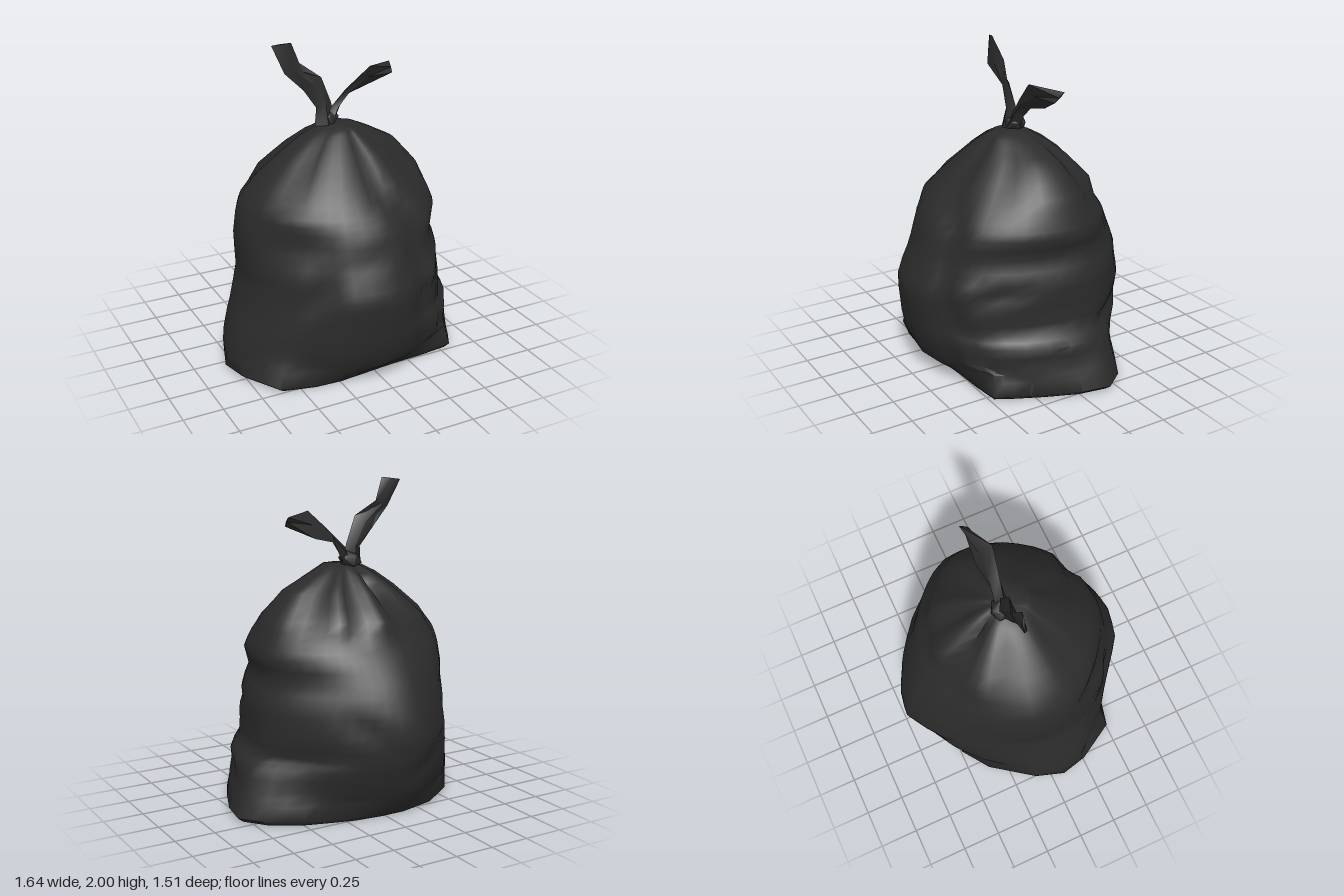
import * as THREE from 'three';
import { toCreasedNormals } from 'three/addons/utils/BufferGeometryUtils.js';

const plastic = new THREE.MeshStandardMaterial({ color: 0x2b2b2c, side: THREE.DoubleSide });
plastic.name = 'black plastic';

// Skins a stack of rings, each a closed loop of [x, y, z] points
function loft(rings, crease) {
  const n = rings[0].length, index = [];
  for (let r = 0; r < rings.length - 1; r++) {
    for (let i = 0; i < n; i++) {
      const a = r * n + i, b = r * n + (i + 1) % n, c = a + n, d = b + n;
      index.push(a, c, b, b, c, d);
    }
  }
  const g = new THREE.BufferGeometry();
  g.setAttribute('position', new THREE.Float32BufferAttribute(rings.flat(2), 3));
  g.setIndex(index);
  return toCreasedNormals(g, crease);
}

function addMesh(group, name, geometry) {
  const mesh = new THREE.Mesh(geometry, plastic);
  mesh.name = name;
  group.add(mesh);
  return mesh;
}

// Adds a point halfway along every side of a closed loop
const refine = (loop) => loop.flatMap((p, i) => {
  const q = loop[(i + 1) % loop.length];
  return [p, p.map((v, k) => (v + q[k]) / 2)];
});

// Widest plan outline of the sack, x and z, as a share of its reach
const outline = refine([
  [-0.14, -0.76], [0.02, -0.74], [0.2, -0.66], [0.34, -0.58], [0.5, -0.47], [0.71, -0.32],
  [0.82, -0.18], [0.79, 0.05], [0.7, 0.3], [0.57, 0.5], [0.45, 0.62], [0.3, 0.64],
  [0.16, 0.72], [-0.04, 0.755], [-0.28, 0.71], [-0.46, 0.58], [-0.6, 0.49], [-0.8, 0.26],
  [-0.83, 0.08], [-0.78, -0.12], [-0.55, -0.44], [-0.4, -0.59],
].map(([x, z]) => [x / 0.825, z / 0.757]));

// Footprint on the ground, straighter along the front
const footprint = refine([
  [-0.14, -0.54], [0.02, -0.54], [0.2, -0.52], [0.34, -0.48], [0.5, -0.43], [0.7, -0.31],
  [0.8, -0.18], [0.77, 0], [0.69, 0.2], [0.61, 0.37], [0.55, 0.48], [0.37, 0.5],
  [0.15, 0.51], [-0.04, 0.53], [-0.25, 0.55], [-0.42, 0.54], [-0.62, 0.49], [-0.76, 0.25],
  [-0.8, 0.08], [-0.74, -0.1], [-0.55, -0.36], [-0.38, -0.48],
]);

// Height, then reach to -x, +x, -z and +z
const levels = [
  [0.11, 0.805, 0.785, 0.62, 0.655], [0.2, 0.79, 0.755, 0.67, 0.7], [0.32, 0.755, 0.75, 0.71, 0.73],
  [0.39, 0.73, 0.66, 0.735, 0.74], [0.5, 0.7, 0.645, 0.755, 0.755], [0.6, 0.675, 0.645, 0.74, 0.76],
  [0.7, 0.68, 0.64, 0.71, 0.72], [0.84, 0.685, 0.57, 0.65, 0.67], [0.97, 0.67, 0.615, 0.57, 0.62],
  [1.06, 0.65, 0.58, 0.5, 0.565], [1.18, 0.55, 0.525, 0.465, 0.46], [1.33, 0.37, 0.39, 0.31, 0.31],
  [1.42, 0.24, 0.22, 0.19, 0.21], [1.47, 0.14, 0.11, 0.1, 0.15],
];

// Creases: angle from the front in degrees, height, slope, half length, half width, depth
const creases = [
  [-38, 0.62, 0.5, 0.3, 0.15, 0.06], [30, 0.5, -1.2, 0.3, 0.22, 0.07], [14, 1.08, -0.6, 0.35, 0.13, 0.09],
  [-48, 0.88, 0, 0.6, 0.17, 0.08], [35, 0.76, -0.2, 0.4, 0.1, 0.05], [-10, 0.82, 0.1, 0.4, 0.08, 0.03],
  [55, 0.63, 0.15, 0.45, 0.09, 0.05], [70, 0.27, -0.15, 0.6, 0.08, 0.03], [118, 0.34, 0, 0.5, 0.12, 0.1],
  [165, 0.55, -0.4, 0.5, 0.12, 0.04], [-160, 0.35, 0.3, 0.4, 0.1, 0.03], [-135, 0.8, -0.2, 0.5, 0.1, 0.03],
  [-80, 1.05, -0.2, 0.4, 0.1, 0.03],
];

// Grooves running down from the knot: angle, half width, depth
const grooves = [
  [-160, 0.24, 0.3], [167, 0.2, 0.28], [132, 0.35, 0.22], [-115, 0.25, 0.14],
  [48, 0.5, 0.15], [-50, 0.25, 0.1], [5, 0.25, 0.12],
];

// One cross-section, rounder toward the neck, with its creases and grooves pressed in
function section([y, left, right, back, front]) {
  const round = 0.8 * Math.min(1, y / 1.2);
  const gather = Math.max(0, 1 - Math.abs(y - 1.36) / 0.32);
  const spread = 1.05 - 0.5 * y;
  return outline.map(([nx, nz], i) => {
    let s = 1 + round * (1 / Math.hypot(nx, nz) - 1);
    const angle = Math.atan2(nx, nz);
    const away = (deg) => {
      const d = angle - deg * Math.PI / 180;
      return Math.atan2(Math.sin(d), Math.cos(d));
    };
    for (const [deg, cy, slope, len, width, depth] of creases) {
      const d = away(deg), across = Math.max(0, 1 - Math.abs(y - cy - slope * d) / width);
      s *= 1 - depth * across * Math.max(0, 1 - Math.abs(d) / len);
    }
    for (const [deg, width, depth] of grooves) {
      s *= 1 - depth * gather * Math.max(0, 1 - Math.abs(away(deg)) / width);
    }
    const x = nx * s * (nx < 0 ? left : right), z = nz * s * (nz < 0 ? back : front);
    // Near the ground the sack never falls inside its spreading footprint
    const fx = footprint[i][0] * spread, fz = footprint[i][1] * spread;
    return y < 0.35 && Math.hypot(fx, fz) > Math.hypot(x, z) ? [fx, y, fz] : [x, y, z];
  });
}

function sackGeometry() {
  const foot = (y, s) => footprint.map(([x, z]) => [x * s, y, z * s]);
  const cap = (x, y, z) => outline.map(() => [x, y, z]);
  const rings = [cap(0, 0.03, 0), foot(0.02, 0.6), foot(0, 0.98), foot(0.03, 1.025)];
  levels.forEach((level, i) => {
    if (i > 0) rings.push(section(level.map((v, k) => (v + levels[i - 1][k]) / 2)));
    rings.push(section(level));
  });
  return loft([...rings, cap(-0.03, 1.48, 0)], 1.1);
}

// Flattened ribbon between two edge points per step: [x1, y1, z1, x2, y2, z2, thickness]
function earGeometry(steps) {
  const rings = steps.map(([x1, y1, z1, x2, y2, z2, t]) => {
    const x = (x1 + x2) / 2, y = (y1 + y2) / 2, z = (z1 + z2) / 2;
    return [[x, y, z - t], [x2, y2, z2], [x, y, z + t], [x1, y1, z1]];
  });
  const close = (ring) => ring.map(() => [0, 1, 2].map((k) => (ring[0][k] + ring[2][k]) / 2));
  return loft([close(rings[0]), ...rings, close(rings[rings.length - 1])], 0.9);
}

export function createModel() {
  const bag = new THREE.Group();
  bag.name = 'tied sack';
  addMesh(bag, 'sack', sackGeometry());

  // Knot at the neck
  const knot = addMesh(bag, 'knot', toCreasedNormals(new THREE.IcosahedronGeometry(1, 0), 0.9));
  knot.scale.set(0.075, 0.06, 0.075);
  knot.position.set(-0.05, 1.5, -0.035);
  knot.rotation.z = 0.25;

  // Two loose ends
  addMesh(bag, 'rightEar', earGeometry([
    [-0.15, 1.46, 0, 0, 1.47, -0.02, 0.05],
    [-0.13, 1.58, -0.02, -0.025, 1.6, -0.03, 0.035],
    [-0.2, 1.69, -0.05, -0.1, 1.77, -0.01, 0.025],
    [-0.34, 1.82, -0.01, -0.22, 1.86, -0.06, 0.015],
    [-0.4, 1.985, -0.06, -0.29, 2, -0.02, 0.008],
  ]));
  addMesh(bag, 'leftEar', earGeometry([
    [-0.1, 1.47, 0, 0, 1.47, -0.04, 0.05],
    [-0.03, 1.58, -0.01, 0.04, 1.56, -0.04, 0.035],
    [0.08, 1.69, 0.01, 0.09, 1.62, -0.06, 0.03],
    [0.21, 1.81, 0.03, 0.22, 1.65, -0.08, 0.02],
    [0.41, 1.79, -0.09, 0.4, 1.73, -0.03, 0.008],
  ]));
  return bag;
}
